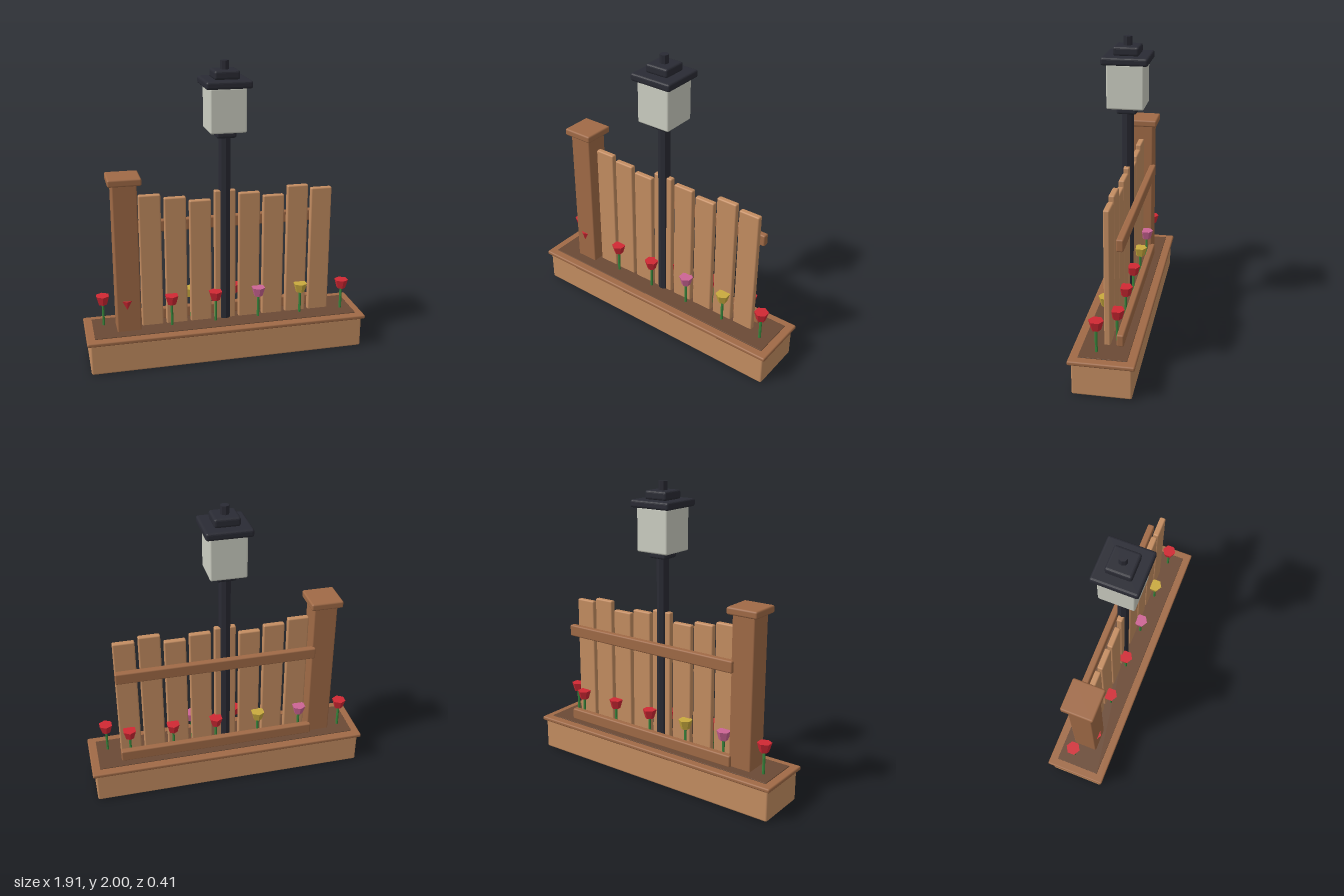
import * as THREE from 'three';
import { RoundedBoxGeometry } from 'three/addons/geometries/RoundedBoxGeometry.js';

const mat = (name, color, flatShading = false) => {
  const m = new THREE.MeshStandardMaterial({ color, flatShading });
  m.name = name;
  return m;
};

export function createModel() {
  const model = new THREE.Group();
  model.name = 'gardenFenceWithLamp';

  const lightWood = mat('lightWood', 0xc48d61);
  const darkWood = mat('darkWood', 0xa06a46);
  const soilMat = mat('soil', 0x6b4a35);
  const iron = mat('blackIron', 0x2a2b34, true);
  const glass = mat('frostedGlass', 0xcccec2);
  const green = mat('stemGreen', 0x38863c, true);
  const red = mat('redPetal', 0xd02833, true);
  const pink = mat('pinkPetal', 0xcc6494, true);
  const yellow = mat('yellowPetal', 0xc9aa3e, true);

  // Box with softened edges, spanning y0..y1
  const box = (name, material, w, y0, y1, d, x = 0, z = 0, r = 0.01, parent = model) => {
    const m = new THREE.Mesh(new RoundedBoxGeometry(w, y1 - y0, d, 2, r), material);
    m.name = name;
    m.position.set(x, (y0 + y1) / 2, z);
    parent.add(m);
    return m;
  };
  // Faceted round part, spanning y0..y1
  const round = (name, material, rTop, rBottom, y0, y1, sides, x, z, parent) => {
    const m = new THREE.Mesh(new THREE.CylinderGeometry(rTop, rBottom, y1 - y0, sides), material);
    m.name = name;
    m.position.set(x, (y0 + y1) / 2, z);
    parent.add(m);
    return m;
  };

  // Planter: trough, rim and soil
  box('planterTrough', lightWood, 1.87, 0.002, 0.215, 0.37, 0, 0, 0.012);
  box('planterRim', darkWood, 1.91, 0.212, 0.24, 0.41);
  box('soilBed', soilMat, 1.8, 0.2, 0.245, 0.3, 0, 0, 0.002);

  // Corner post with cap
  box('fencePost', darkWood, 0.16, 0, 1.255, 0.16, -0.665);
  box('postCap', darkWood, 0.216, 1.248, 1.297, 0.216, -0.665, 0, 0.012);

  // Pickets in a repeating three-height pattern
  const tops = [1.157, 1.13, 1.1];
  for (let i = 0; i < 8; i++) {
    box('picket', lightWood, 0.145, 0.2, tops[i % 3], 0.04, -0.5 + i / 6);
  }

  // Rails behind the pickets
  for (const y of [0.24, 0.875]) {
    box('rail', darkWood, 1.35, y, y + 0.08, 0.045, 0.07, -0.08);
  }

  // Lamp
  const lamp = new THREE.Group();
  lamp.name = 'lamp';
  model.add(lamp);
  box('lampBase', iron, 0.19, 0, 0.15, 0.19, 0, 0, 0.008, lamp);
  round('lampPole', iron, 0.04, 0.04, 0.1, 1.52, 8, 0, 0, lamp);
  box('lampCollar', iron, 0.13, 1.512, 1.556, 0.13, 0, 0, 0.014, lamp);
  box('lampGlass', glass, 0.238, 1.555, 1.842, 0.238, 0, 0, 0.012, lamp);
  box('lampRoof', iron, 0.298, 1.838, 1.888, 0.298, 0, 0, 0.015, lamp);
  box('lampRoofTop', iron, 0.166, 1.886, 1.944, 0.166, 0, 0, 0.015, lamp);
  round('lampFinial', iron, 0.029, 0.029, 1.93, 2, 8, 0, 0, lamp);

  // Flowers alternate behind and in front of the fence
  const petals = [red, red, pink, red, yellow, red, red, pink, red, yellow, red, red];
  petals.forEach((petal, i) => {
    const flower = new THREE.Group();
    flower.name = 'flower';
    flower.position.set(-0.825 + i * 0.15, 0, i % 2 ? 0.05 : -0.05);
    round('stem', green, 0.009, 0.009, 0.23, 0.41, 6, 0, 0, flower);
    round('blossom', petal, 0.048, 0.03, 0.398, 0.46, 6, 0, 0, flower);
    model.add(flower);
  });

  return model;
}
